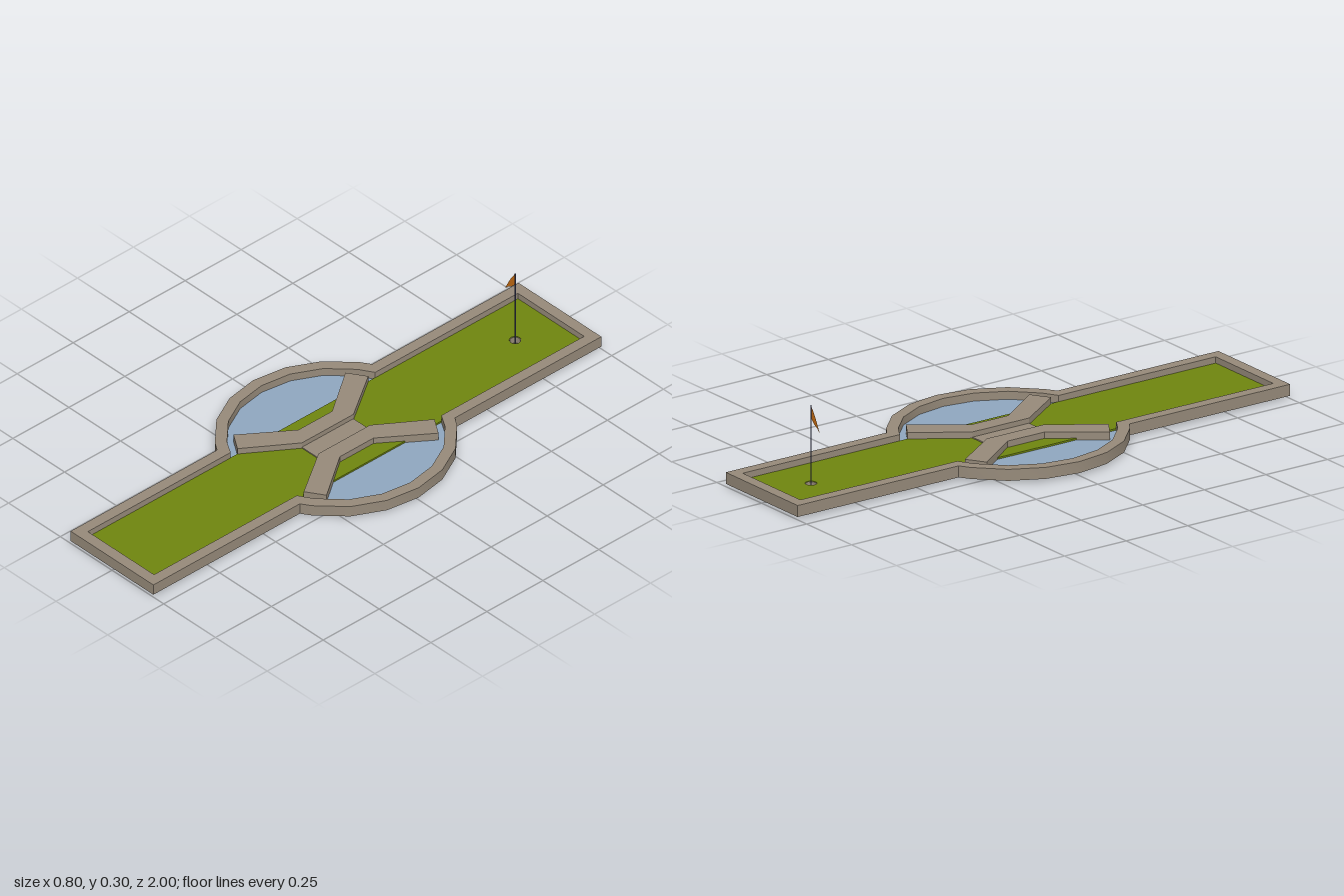
import * as THREE from 'three';
import { toCreasedNormals } from 'three/addons/utils/BufferGeometryUtils.js';

const mat = (name, color, side = THREE.FrontSide) =>
  Object.assign(new THREE.MeshStandardMaterial({ color, side }), { name });

// Plan outline of a lane (half width w, half length l) crossed by a 20-sided pond of radius r
function planOutline(w, l, r) {
  const z = Math.sqrt(r * r - w * w);
  const arc = [0, 18, 36, 54].map(d => [r * Math.cos(d * Math.PI / 180), r * Math.sin(d * Math.PI / 180)]);
  const quarter = [...arc, [w, z], [w, l]];
  const flip = (sx, sy) => quarter.map(([x, y]) => new THREE.Vector2(x * sx, y * sy));
  return [...flip(1, 1), ...flip(-1, 1).reverse(), ...flip(-1, -1).slice(1), ...flip(1, -1).reverse().slice(0, -1)];
}

// Extrudes a plan shape upward from y0 to y1 (plan y becomes -z)
function slab(shape, y0, y1) {
  const geo = new THREE.ExtrudeGeometry(shape, { depth: y1 - y0, bevelEnabled: false, curveSegments: 8 });
  geo.rotateX(-Math.PI / 2).translate(0, y0, 0);
  return toCreasedNormals(geo, 0.5);
}

export function createModel() {
  const group = new THREE.Group();
  group.name = 'miniGolfHole';
  const stone = mat('stone', 0x968a7a);
  const turf = mat('turf', 0x6f850f);
  const water = mat('water', 0x8fa6bf);
  const steel = mat('poleSteel', 0x4a5078);
  const orange = mat('flagOrange', 0xc66c12, THREE.DoubleSide);
  const add = (name, geo, material) => {
    const mesh = new THREE.Mesh(geo, material);
    mesh.name = name;
    group.add(mesh);
    return mesh;
  };

  // Border wall around lane and pond
  const wall = new THREE.Shape(planOutline(0.2, 1, 0.4));
  wall.holes.push(new THREE.Path(planOutline(0.16, 0.96, 0.36)));
  add('borderWall', slab(wall, 0.01, 0.05), stone);

  // Lane with a round opening for the cup
  const lane = new THREE.Shape([[-0.161, -0.961], [0.161, -0.961], [0.161, 0.961], [-0.161, 0.961]]
    .map(p => new THREE.Vector2(...p)));
  const opening = new THREE.Path();
  opening.absarc(0, 0.8, 0.02, 0, Math.PI * 2, true);
  lane.holes.push(opening);
  add('lane', slab(lane, 0.013, 0.028), turf);

  // Pond floor with a thin sheet of water on each side of the lane
  for (const s of [1, -1]) {
    const half = new THREE.Shape();
    const a = Math.acos(0.16 / 0.362);
    const angles = [-a, ...[-54, -36, -18, 0, 18, 36, 54].map(d => d * Math.PI / 180), a];
    const pts = angles.map(t => new THREE.Vector2(s * 0.362 * Math.cos(t), 0.362 * Math.sin(t)));
    half.setFromPoints(pts);
    add('pondFloor', slab(half, 0.016, 0.02), stone);
    add('pondWater', slab(half, 0.02, 0.022), water);
  }

  // Bridge deck and its two flared kerbs
  add('bridgeDeck', new THREE.BoxGeometry(0.08, 0.012, 0.23).translate(0, 0.026, 0), stone);
  for (const s of [1, -1]) {
    const kerb = new THREE.Shape([[0.16, 0.292], [0.04, 0.115], [0.04, -0.115], [0.16, -0.292],
      [0.225, -0.25], [0.1, -0.075], [0.1, 0.075], [0.225, 0.25]]
      .map(([x, y]) => new THREE.Vector2(s * x, y)));
    add('bridgeKerb', slab(kerb, 0.021, 0.05), stone);
  }

  // Open cup sunk through the lane
  const cup = new THREE.LatheGeometry([[0, 0], [0.02, 0], [0.02, 0.026], [0.018, 0.026], [0.018, 0.003], [0, 0.003]]
    .map(p => new THREE.Vector2(...p)), 12);
  add('cup', toCreasedNormals(cup, 0.7), stone).position.z = -0.8;

  // Flag pole and swept pennant
  add('flagPole', new THREE.CylinderGeometry(0.002, 0.002, 0.298, 8), steel).position.set(0, 0.151, -0.8);
  const pennant = new THREE.Shape([[0, 0.3], [-0.025, 0.262], [-0.049, 0.215], [-0.034, 0.229],
    [-0.016, 0.239], [0, 0.256]].map(p => new THREE.Vector2(...p)));
  add('pennant', new THREE.ShapeGeometry(pennant), orange).position.z = -0.8;

  return group;
}
